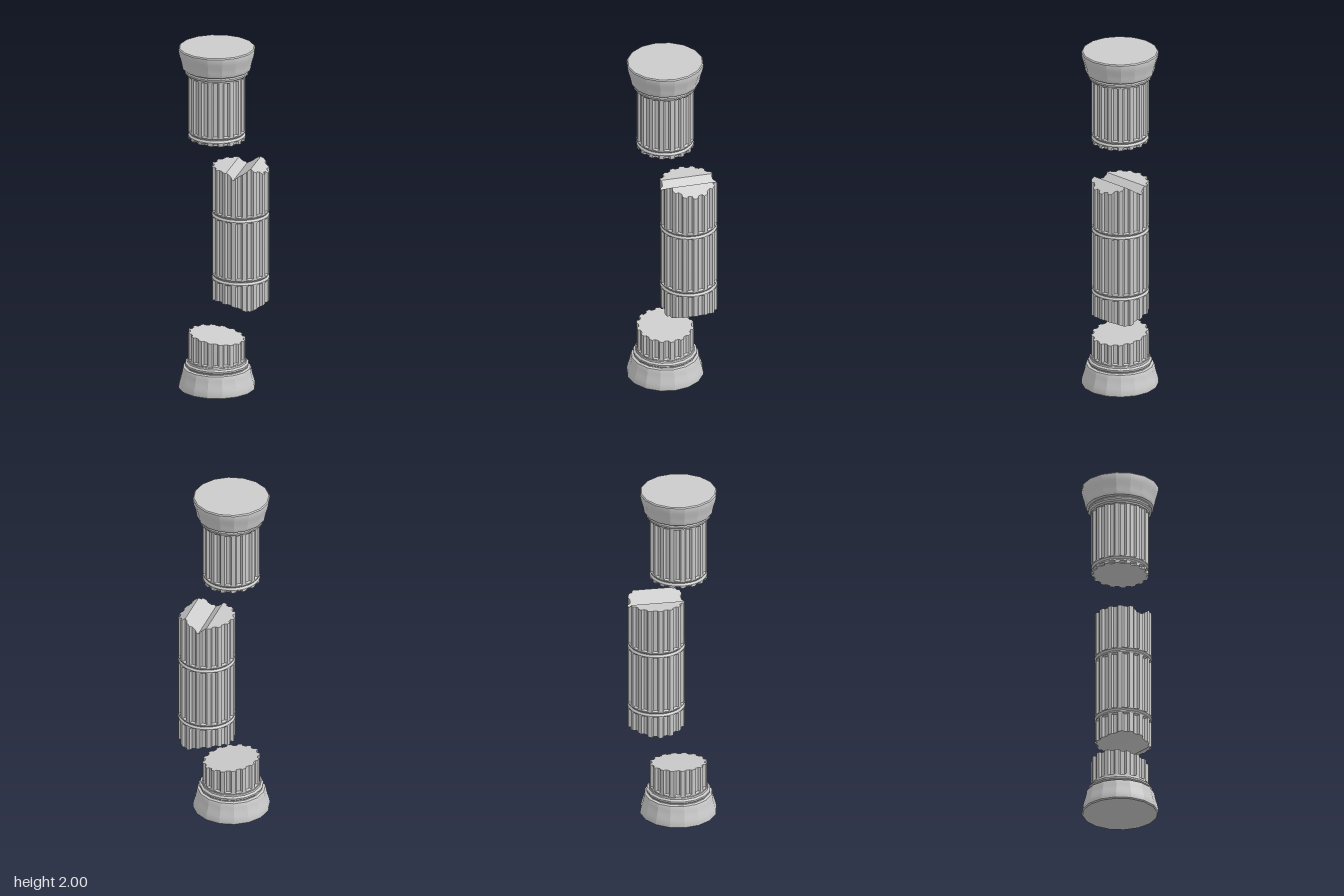
import * as THREE from 'three';
import { toCreasedNormals } from 'three/addons/utils/BufferGeometryUtils.js';

const SIDES = 16, R = 0.16, DEPTH = 0.013;
const lerp = THREE.MathUtils.lerp;

// Height of a broken end: piecewise linear in x, given as [x, y] points.
function heightAt(pts, x) {
  for (let i = 1; i < pts.length; i++) {
    const [x0, y0] = pts[i - 1], [x1, y1] = pts[i];
    if (x <= x1 || i === pts.length - 1) return lerp(y0, y1, (x - x0) / (x1 - x0));
  }
}

// Plan of the shaft: each point holds its fluted (fx, fz) and plain (px, pz)
// position; extra points are added where the outline crosses a crease.
function outline(creases) {
  const base = [];
  for (let i = 0; i < SIDES; i++) {
    const a0 = i * Math.PI * 2 / SIDES;
    for (const [da, r] of [[-0.07, R], [0.07, R], [0.125, R - DEPTH], [0.2677, R - DEPTH]]) {
      const s = Math.sin(a0 + da), c = Math.cos(a0 + da);
      base.push({ fx: r * s, fz: r * c, px: R * s, pz: R * c });
    }
  }
  const out = [];
  base.forEach((p, i) => {
    const q = base[(i + 1) % base.length];
    out.push(p);
    creases.map(x => (x - p.fx) / (q.fx - p.fx)).filter(t => t > 0.001 && t < 0.999)
      .sort((a, b) => a - b).forEach(t => {
        const n = {};
        for (const k in p) n[k] = lerp(p[k], q[k], t);
        out.push(n);
      });
  });
  return out;
}

// Fluted shaft. bottom / top are broken profiles or plain heights; rows between
// are [y, fluting 0..1, scale].
function shaftGeometry(bottom, rows, top) {
  const broken = [bottom, top].filter(Array.isArray);
  const plan = outline(broken.flatMap(c => c.slice(1, -1).map(p => p[0])));
  const n = plan.length, pos = [], idx = [];
  const addRow = (y, k, s) => plan.forEach(p => {
    const x = lerp(p.px, p.fx, k) * s, z = lerp(p.pz, p.fz, k) * s;
    pos.push(x, Array.isArray(y) ? heightAt(y, x) : y, z);
  });
  const all = [[bottom, Array.isArray(bottom) ? 1 : 0, 1], ...rows, [top, Array.isArray(top) ? 1 : 0, 1]];
  all.forEach(r => addRow(...r));
  for (let j = 0; j < all.length - 1; j++) {
    for (let i = 0; i < n; i++) {
      const a = j * n + i, b = j * n + (i + 1) % n;
      idx.push(a, b, b + n, a, b + n, a + n);
    }
  }
  // Broken faces, one facet per strip between creases
  const cap = (cut, first, up) => {
    for (let i = 1; i < cut.length; i++) {
      const lo = i === 1 ? -1 : cut[i - 1][0], hi = i === cut.length - 1 ? 1 : cut[i][0];
      const ids = plan.map((p, k) => k).filter(k => plan[k].fx > lo - 1e-6 && plan[k].fx < hi + 1e-6);
      const flat = ids.map(k => new THREE.Vector2(plan[k].fx, -plan[k].fz));
      for (const [a, b, c] of THREE.ShapeUtils.triangulateShape(flat, [])) {
        const t = [a, b, c].map(k => first + ids[k]);
        idx.push(...(up ? t : t.reverse()));
      }
    }
  };
  if (Array.isArray(bottom)) cap(bottom, 0, false);
  if (Array.isArray(top)) cap(top, (all.length - 1) * n, true);
  const g = new THREE.BufferGeometry();
  g.setAttribute('position', new THREE.Float32BufferAttribute(pos, 3));
  g.setIndex(idx);
  return toCreasedNormals(g, 0.3);
}

// Grooved joint between two drums
const joint = y => [[-0.022, 1, 1], [-0.016, 0, 1], [-0.011, 0, 1], [0, 0, 0.945],
  [0.011, 0, 1], [0.016, 0, 1], [0.022, 1, 1]].map(([d, k, s]) => [y + d, k, s]);

// Moulding shared by the base and, upside down, the capital
const moulding = [[0, 0], [0.209, 0], [0.215, 0.006], [0.215, 0.022], [0.21, 0.045], [0.202, 0.07],
  [0.196, 0.095], [0.193, 0.115], [0.189, 0.124], [0.174, 0.128], [0.173, 0.133], [0.179, 0.139],
  [0.179, 0.148], [0.174, 0.154], [0.167, 0.156], [0.165, 0.165], [0.155, 0.168]];

function mouldingGeometry(flip) {
  const pts = moulding.map(([r, y]) => new THREE.Vector2(r, flip ? 2 - y : y));
  if (flip) pts.reverse();
  return toCreasedNormals(new THREE.LatheGeometry(pts, SIDES), 0.35);
}

export function createModel() {
  const model = new THREE.Group();
  const stone = new THREE.MeshStandardMaterial({ color: 0xcccccc });
  const section = (name, x, z, parts) => {
    const g = new THREE.Group();
    g.name = name;
    g.position.set(x, 0, z);
    for (const [part, geometry] of parts) {
      const m = new THREE.Mesh(geometry, stone);
      m.name = part;
      g.add(m);
    }
    model.add(g);
  };

  // Base with a slanted break
  section('lowerSection', -0.028, 0.025, [
    ['base', mouldingGeometry(false)],
    ['lowerShaft', shaftGeometry(0.15, [[0.172, 0, 1], [0.178, 1, 1]], [[-0.16, 0.33], [0.16, 0.285]])],
  ]);

  // Shifted middle drums, jagged at both ends
  section('middleSection', 0.081, -0.081, [
    ['middleShaft', shaftGeometry(
      [[-0.16, 0.49], [-0.1, 0.51], [-0.01, 0.5], [0.085, 0.463], [0.16, 0.495]],
      [...joint(0.637), ...joint(1.005)],
      [[-0.16, 1.28], [-0.046, 1.276], [-0.002, 1.24], [0.087, 1.3], [0.16, 1.25]])],
  ]);

  // Capital with the upper drum
  section('upperSection', -0.028, 0.025, [
    ['capital', mouldingGeometry(true)],
    ['upperShaft', shaftGeometry([[-0.16, 1.471], [0.16, 1.46]],
      [...joint(1.497), [1.843, 1, 1], [1.849, 0, 1]], 1.86)],
  ]);

  return model;
}
